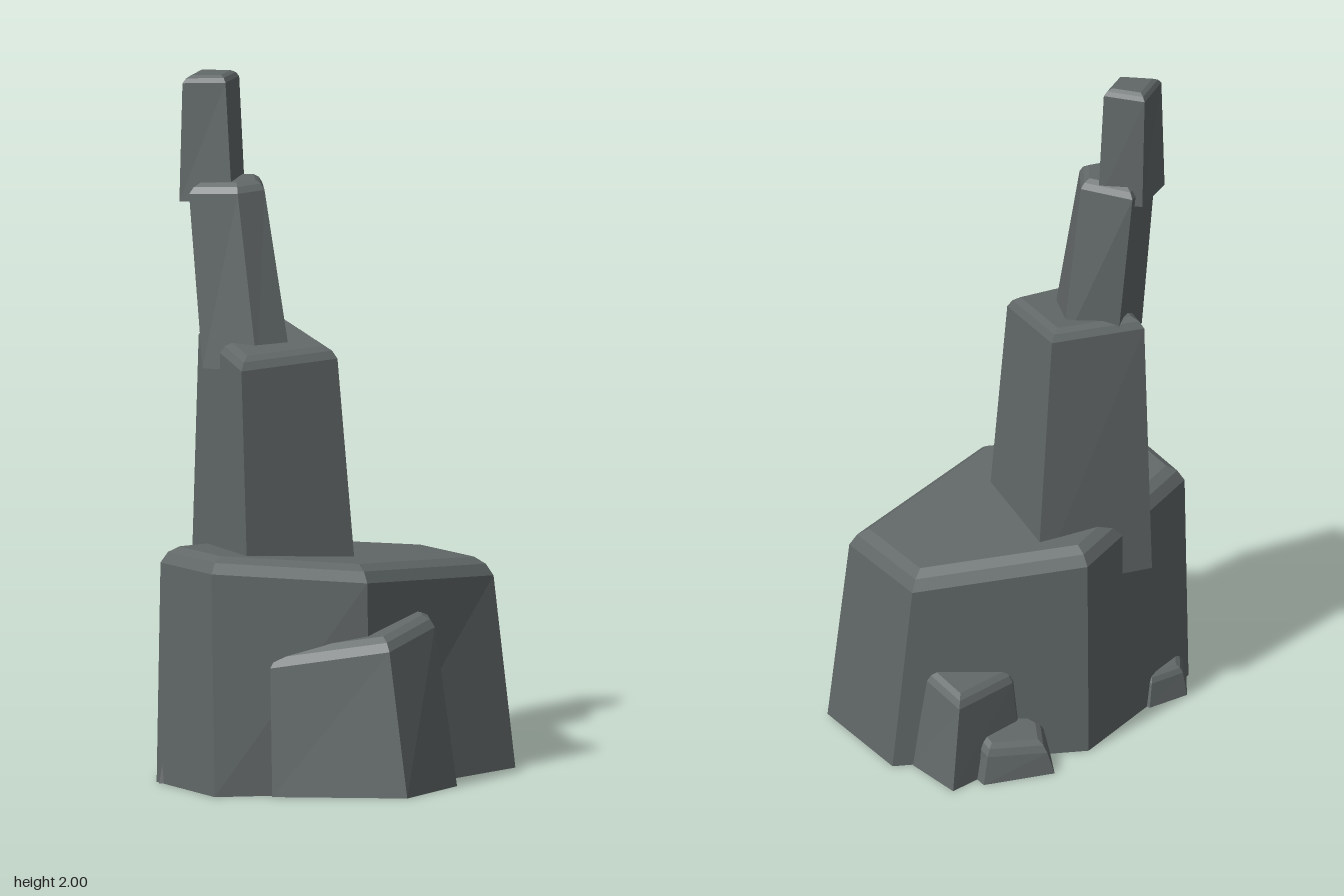
import * as THREE from 'three';

// Moves every edge of a convex outline [x, z] inwards by d
function inset(poly, d) {
  const n = poly.length;
  const edges = poly.map(([x, z], i) => {
    const [bx, bz] = poly[(i + 1) % n];
    const len = Math.hypot(bx - x, bz - z);
    const ux = (bx - x) / len, uz = (bz - z) / len;
    return { x: x + uz * d, z: z - ux * d, ux, uz };
  });
  return edges.map((e, i) => {
    const p = edges[(i + n - 1) % n];
    const cross = p.ux * e.uz - p.uz * e.ux;
    const t = ((e.x - p.x) * e.uz - (e.z - p.z) * e.ux) / cross;
    return [p.x + p.ux * t, p.z + p.uz * t];
  });
}

// Tapered rock block: foot outline, rim outline, sloping top y = h + sx*x + sz*z, bevelled rim
function rock(name, material, { foot, rim, y0 = 0, top: [h, sx, sz], bevel }) {
  const height = ([x, z], drop) => h + sx * x + sz * z - drop;
  const raise = (poly, drop) => poly.map((p) => [p[0], height(p, drop), p[1]]);
  const loops = [
    foot.map(([x, z]) => [x, y0, z]),
    raise(rim, bevel * 1.1),
    raise(inset(rim, bevel * 0.4), bevel * 0.4),
    raise(inset(rim, bevel), 0),
  ];
  const pos = [];
  const tri = (a, b, c) => pos.push(...a, ...b, ...c);
  const n = foot.length;
  for (let i = 0; i < n; i++) {
    const j = (i + 1) % n;
    for (let k = 0; k < loops.length - 1; k++) {
      const lo = loops[k], hi = loops[k + 1];
      tri(lo[i], lo[j], hi[j]);
      tri(lo[i], hi[j], hi[i]);
    }
    if (i > 0 && i < n - 1) {
      const cap = loops[loops.length - 1];
      tri(cap[0], cap[i], cap[j]);
      tri(loops[0][0], loops[0][j], loops[0][i]);
    }
  }
  const geo = new THREE.BufferGeometry();
  geo.setAttribute('position', new THREE.Float32BufferAttribute(pos, 3));
  geo.computeVertexNormals();
  const mesh = new THREE.Mesh(geo, material);
  mesh.name = name;
  return mesh;
}

export function createModel() {
  const group = new THREE.Group();
  group.name = 'rockSpire';
  const stone = new THREE.MeshStandardMaterial({ color: 0x626868 });
  stone.name = 'grey stone';

  const parts = {
    // Stacked spire
    baseBoulder: {
      foot: [[-0.52, 0.1], [-0.134, 0.32], [0.478, 0.21], [0.52, -0.15], [0.022, -0.41], [-0.475, -0.22]],
      rim: [[-0.5, 0.06], [-0.13, 0.302], [0.435, 0.165], [0.465, -0.17], [0.02, -0.402], [-0.465, -0.215]],
      top: [0.636, -0.087, 0], bevel: 0.045,
    },
    lowerColumn: {
      foot: [[-0.362, 0.055], [0, 0.1], [0.1, -0.27], [-0.24, -0.36]], y0: 0.48,
      rim: [[-0.36, 0.02], [-0.045, 0.06], [0.035, -0.255], [-0.23, -0.337]],
      top: [1.245, 0.05, -0.12], bevel: 0.03,
    },
    middleColumn: {
      foot: [[-0.325, -0.2], [-0.235, -0.064], [-0.13, -0.04], [-0.05, -0.19], [-0.16, -0.3]], y0: 1.17,
      rim: [[-0.338, -0.245], [-0.25, -0.135], [-0.165, -0.12], [-0.098, -0.215], [-0.18, -0.348]],
      top: [1.712, 0.06, 0], bevel: 0.025,
    },
    topColumn: {
      foot: [[-0.345, -0.28], [-0.24, -0.173], [-0.132, -0.25], [-0.215, -0.348]], y0: 1.64,
      rim: [[-0.33, -0.285], [-0.24, -0.203], [-0.145, -0.26], [-0.217, -0.356]],
      top: [2.005, 0.03, 0], bevel: 0.018,
    },
    // Slab leaning on the front
    frontSlab: {
      foot: [[-0.392, 0.2], [-0.11, 0.458], [0.14, 0.37], [0.18, 0.3], [0.12, 0.15], [-0.3, 0.1]],
      rim: [[-0.375, 0.17], [-0.12, 0.39], [0.1, 0.32], [0.13, 0.27], [0.1, 0.1], [-0.3, 0.08]],
      top: [0.472, 0.19, 0], bevel: 0.035,
    },
    // Small rocks around the foot
    backRightRock: {
      foot: [[0.15, -0.28], [0.3, -0.1], [0.47, -0.18], [0.473, -0.372], [0.2, -0.33]],
      rim: [[0.17, -0.27], [0.28, -0.1], [0.43, -0.19], [0.43, -0.345], [0.22, -0.315]],
      top: [0.325, 0, 0.18], bevel: 0.025,
    },
    backLowRock: {
      foot: [[0.12, -0.36], [0.15, -0.3], [0.36, -0.25], [0.382, -0.395], [0.18, -0.46]],
      rim: [[0.14, -0.355], [0.16, -0.3], [0.345, -0.25], [0.36, -0.385], [0.195, -0.445]],
      top: [0.19, 0, 0.22], bevel: 0.025,
    },
    backLeftRock: {
      foot: [[-0.49, -0.19], [-0.45, -0.15], [-0.25, -0.2], [-0.27, -0.31], [-0.4, -0.312]],
      rim: [[-0.475, -0.19], [-0.44, -0.155], [-0.26, -0.2], [-0.285, -0.3], [-0.395, -0.3]],
      top: [0.09, 0, 0], bevel: 0.02,
    },
  };
  for (const [name, spec] of Object.entries(parts)) group.add(rock(name, stone, spec));
  return group;
}
